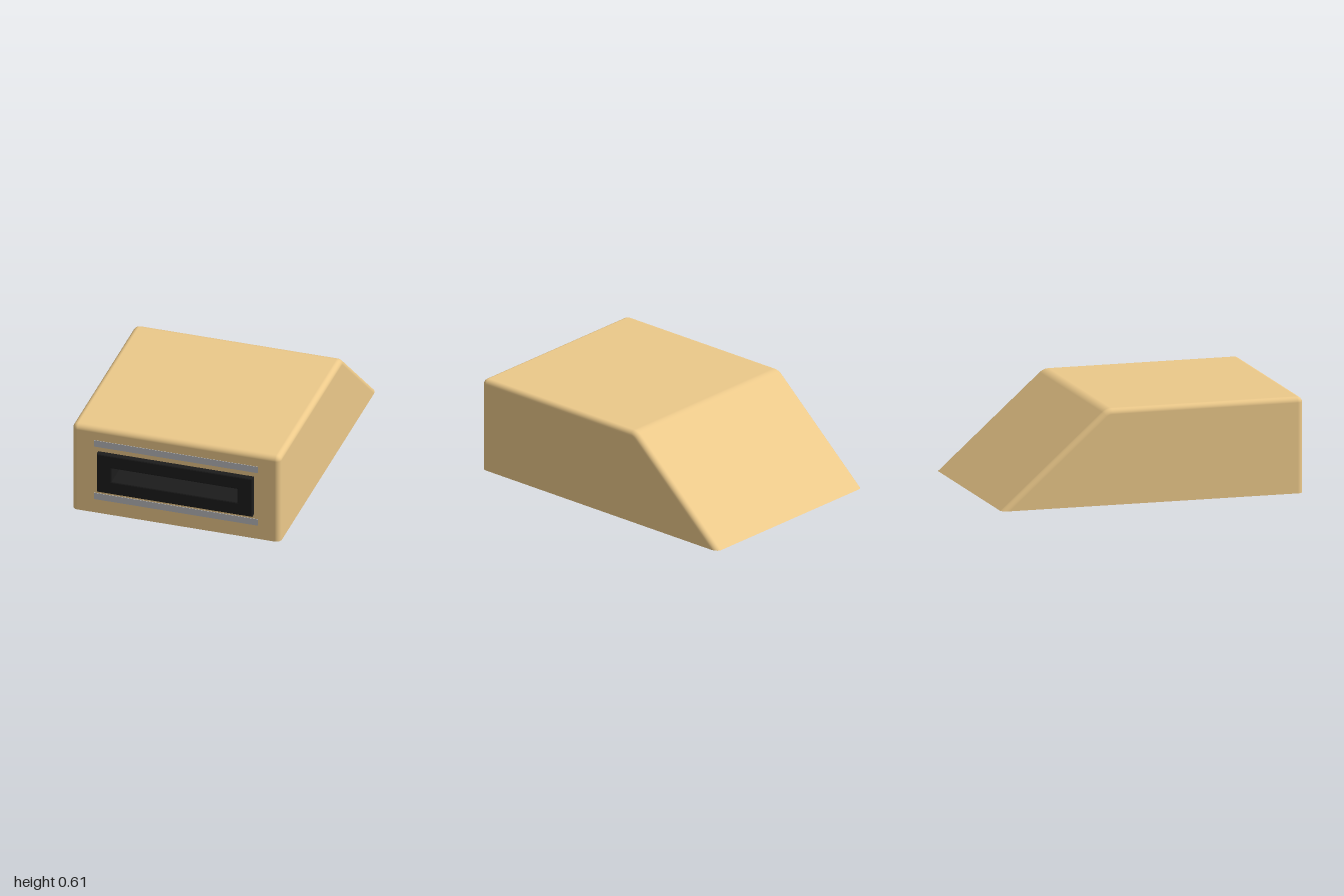
import * as THREE from 'three';

const W = 0.68, H = 0.61, FRONT = 0.965, R = 0.035;

const paint = (color) => new THREE.MeshStandardMaterial({ color, side: THREE.DoubleSide });

function rectPath(path, x0, y0, x1, y1) {
  path.moveTo(x0, y0);
  path.lineTo(x1, y0);
  path.lineTo(x1, y1);
  path.lineTo(x0, y1);
  path.closePath();
  return path;
}

// Hollow wedge shell: a rounded side profile, inset towards both flanks
function shellGeometry() {
  const tipZ = -1, kneeZ = -0.312, kneeR = 0.09;
  const slope = Math.PI / 2 + Math.atan2(H, kneeZ - tipZ);
  const kneeC = [kneeZ + kneeR * Math.tan((slope - Math.PI / 2) / 2), H - kneeR];

  // Each entry gives an arc centre, radius and normal angle in the z-y plane
  const profile = [{ c: [FRONT - R, 0], r: R, a: 0 }];
  for (let i = 0; i <= 6; i++) profile.push({ c: [FRONT - R, H - R], r: R, a: (i / 6) * Math.PI / 2 });
  for (let i = 0; i <= 8; i++) profile.push({ c: kneeC, r: kneeR, a: Math.PI / 2 + (i / 8) * (slope - Math.PI / 2) });
  profile.push({ tip: true, a: slope });

  const sections = [];
  for (const side of [-1, 1]) {
    for (let i = 0; i <= 6; i++) sections.push({ side, t: (side < 0 ? 6 - i : i) / 6 * Math.PI / 2 });
  }

  const pos = [], nor = [], idx = [], n = profile.length;
  for (const { side, t } of sections) {
    const d = R * (1 - Math.cos(t));
    const x = side * (W - R + R * Math.sin(t));
    for (const p of profile) {
      const nz = Math.cos(p.a), ny = Math.sin(p.a);
      if (p.tip) pos.push(x, 0, tipZ - d / nz);
      else pos.push(x, p.c[1] + ny * (p.r - d), p.c[0] + nz * (p.r - d));
      nor.push(side * Math.sin(t), ny * Math.cos(t), nz * Math.cos(t));
    }
  }
  for (let i = 0; i < sections.length - 1; i++) {
    for (let j = 0; j < n - 1; j++) {
      if (i === 6 && j === 0) continue; // left open for the front panel
      const a = i * n + j, b = a + n;
      idx.push(a, b, b + 1, a, b + 1, a + 1);
    }
  }
  // Flat flanks
  const last = (sections.length - 1) * n;
  for (let j = 1; j < n - 1; j++) {
    idx.push(0, j, j + 1);
    idx.push(last, last + j + 1, last + j);
  }
  const g = new THREE.BufferGeometry();
  g.setAttribute('position', new THREE.Float32BufferAttribute(pos, 3));
  g.setAttribute('normal', new THREE.Float32BufferAttribute(nor, 3));
  g.setIndex(idx);
  return g;
}

export function createModel() {
  const group = new THREE.Group();
  const tan = paint(0xecc98a), black = paint(0x1c1c1c), grey = paint(0xbbbbbe);
  const add = (name, geometry, material, x = 0, y = 0, z = 0) => {
    const mesh = new THREE.Mesh(geometry, material);
    mesh.name = name;
    mesh.position.set(x, y, z);
    group.add(mesh);
    return mesh;
  };

  add('shell', shellGeometry(), tan);

  // Front panel with an opening behind the bezel
  const panel = rectPath(new THREE.Shape(), -W + R, 0, W - R, H - R);
  panel.holes.push(rectPath(new THREE.Path(), -0.49, 0.19, 0.49, 0.425));
  add('frontPanel', new THREE.ShapeGeometry(panel), tan, 0, 0, FRONT);

  // Bezel plate with the slot cut through it
  const bevel = 0.008;
  const plate = rectPath(new THREE.Shape(), -0.508, 0.17, 0.508, 0.445);
  plate.holes.push(rectPath(new THREE.Path(), -0.41, 0.26, 0.41, 0.355));
  add('slotBezel', new THREE.ExtrudeGeometry(plate, {
    depth: 0.05 - 2 * bevel, bevelThickness: bevel, bevelSize: bevel, bevelOffset: -bevel, bevelSegments: 2,
  }), black, 0, 0, 0.95 + bevel);

  // Slot sleeve running back inside the shell, open at the front
  const sleeve = new THREE.BoxGeometry(0.822, 0.097, 1.3);
  const faces = Array.from(sleeve.index.array);
  faces.splice(24, 6);
  sleeve.setIndex(faces);
  sleeve.clearGroups();
  add('slotSleeve', sleeve, black, 0, 0.3075, 0.33);

  // Trim strips above and below the bezel
  for (const [name, y] of [['upperTrim', 0.498], ['lowerTrim', 0.119]]) {
    add(name, new THREE.BoxGeometry(1.07, 0.045, 0.014), grey, 0, y, 0.961);
  }
  return group;
}
